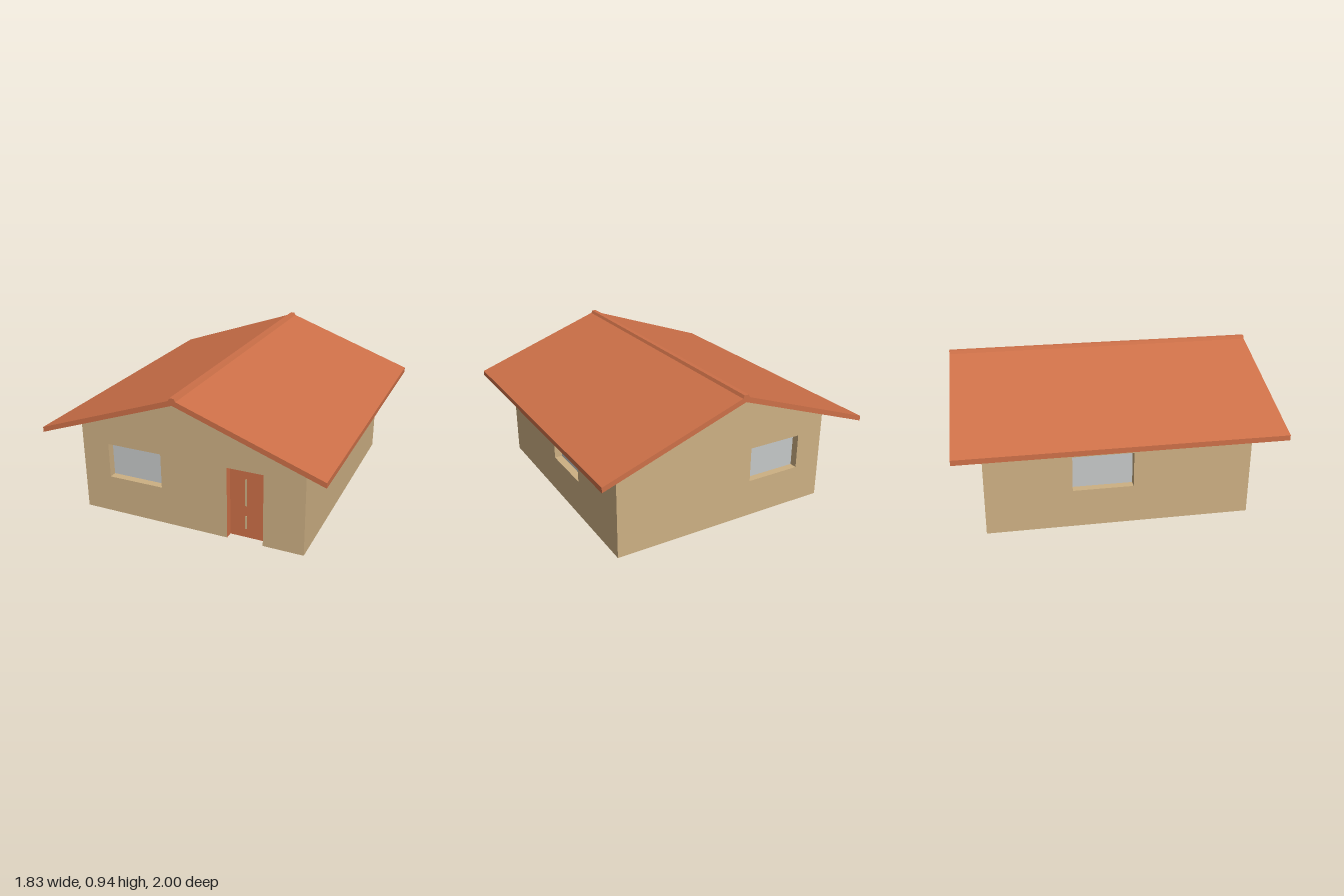
import * as THREE from 'three';

const mat = (name, color) => {
  const m = new THREE.MeshStandardMaterial({ color, side: THREE.DoubleSide });
  m.name = name;
  return m;
};

const HALF_W = 0.75, HALF_D = 0.83, EAVE = 0.631, PEAK = 0.895, DEPTH = 0.05;

export function createModel() {
  const tan = mat('tanWall', 0xcdb083);
  const terracotta = mat('terracotta', 0xcd7048);
  const glass = mat('glass', 0xc5c8c8);
  const house = new THREE.Group();
  house.name = 'house';

  const add = (parent, name, geometry, material, x = 0, y = 0, z = 0) => {
    const mesh = new THREE.Mesh(geometry, material);
    mesh.name = name;
    mesh.position.set(x, y, z);
    parent.add(mesh);
    return mesh;
  };
  const polygon = (points) => new THREE.Shape(points.map(([x, y]) => new THREE.Vector2(x, y)));

  // Panel set back behind an opening, with the reveal running inward from the wall
  const recess = (parent, name, [x0, x1, y0, y1], panelMat, revealMat, sill) => {
    const group = new THREE.Group();
    group.name = name;
    parent.add(group);
    const w = x1 - x0, h = y1 - y0, cx = (x0 + x1) / 2, cy = (y0 + y1) / 2;
    add(group, name + 'Panel', new THREE.PlaneGeometry(w, h), panelMat, cx, cy, -DEPTH);
    for (const [x, turn] of [[x0, 1], [x1, -1]]) {
      add(group, 'jamb', new THREE.PlaneGeometry(DEPTH, h), revealMat, x, cy, -DEPTH / 2)
        .rotation.y = turn * Math.PI / 2;
    }
    const levels = sill ? [[y0, -1], [y1, 1]] : [[y1, 1]];
    for (const [y, turn] of levels) {
      add(group, turn < 0 ? 'sill' : 'lintel', new THREE.PlaneGeometry(w, DEPTH), revealMat, cx, y, -DEPTH / 2)
        .rotation.x = turn * Math.PI / 2;
    }
    return group;
  };

  // Thin wall with a window, turned to face outward
  const wall = (name, outline, win, distance, turn) => {
    const group = new THREE.Group();
    group.name = name;
    group.rotation.y = turn;
    group.position.set(Math.sin(turn) * distance, 0, Math.cos(turn) * distance);
    house.add(group);
    const shape = polygon(outline);
    const [x0, x1, y0, y1] = win;
    shape.holes.push(polygon([[x0, y0], [x0, y1], [x1, y1], [x1, y0]]));
    add(group, name + 'Surface', new THREE.ShapeGeometry(shape), tan);
    recess(group, 'window', win, glass, tan, true);
    return group;
  };

  const door = [0.255, 0.49, 0, 0.48];
  const gable = [[HALF_W, 0], [HALF_W, EAVE], [0, PEAK], [-HALF_W, EAVE], [-HALF_W, 0]];
  const doorNotch = [[door[0], 0], [door[0], door[3]], [door[1], door[3]], [door[1], 0]];
  const side = [[-HALF_D, 0], [HALF_D, 0], [HALF_D, EAVE], [-HALF_D, EAVE]];

  const front = wall('frontWall', [...gable, ...doorNotch], [-0.563, -0.19, 0.25, 0.48], HALF_D, 0);
  wall('backWall', gable, [0.19, 0.563, 0.25, 0.48], HALF_D, Math.PI);
  wall('leftWall', side, [-0.085, 0.295, 0.25, 0.48], HALF_W, Math.PI / 2);
  wall('rightWall', side, [-0.295, 0.085, 0.25, 0.48], HALF_W, -Math.PI / 2);

  // Door with two slim vertical strips
  const doorGroup = recess(front, 'door', door, terracotta, terracotta, false);
  for (const [y0, y1] of [[0.22, 0.4], [0.06, 0.15]]) {
    add(doorGroup, 'doorStrip', new THREE.BoxGeometry(0.011, y1 - y0, 0.008), tan, 0.36, (y0 + y1) / 2, -DEPTH);
  }

  // Roof: a folded slab with plumb-cut eaves, and a ridge cap along the top
  const runAlongZ = (name, points) => {
    const geometry = new THREE.ExtrudeGeometry(polygon(points), { depth: 2, bevelEnabled: false });
    add(house, name, geometry, terracotta, 0, 0, -1);
  };
  runAlongZ('roof', [
    [-0.917, 0.572], [0, PEAK + 0.001], [0.917, 0.572],
    [0.917, 0.605], [0, 0.93], [-0.917, 0.605],
  ]);
  runAlongZ('ridgeCap', [[-0.024, 0.921], [0, 0.928], [0.024, 0.921], [0.014, 0.94], [-0.014, 0.94]]);

  return house;
}
